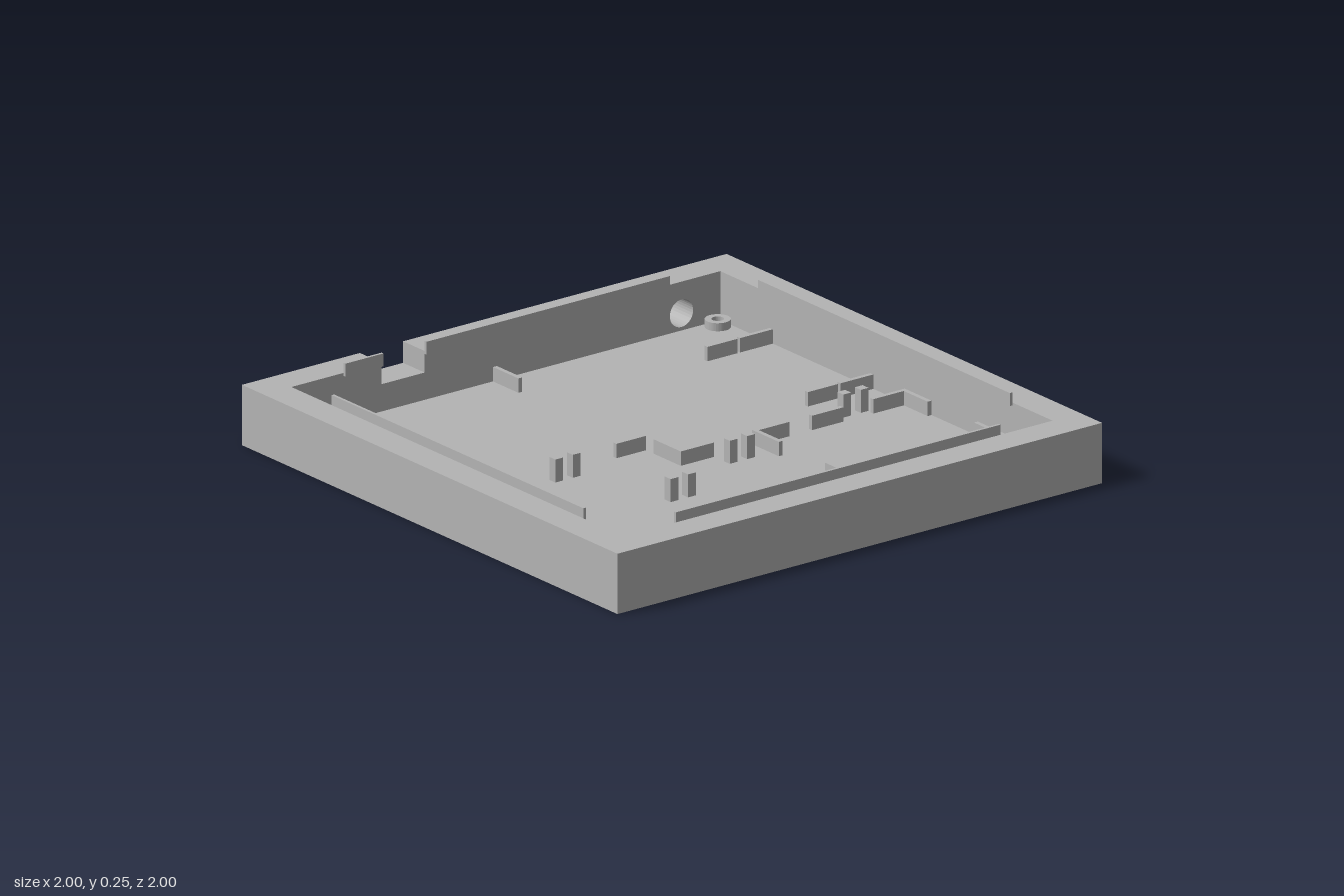
import * as THREE from 'three';

const IN = 0.885;     // half width of the cavity
const FLOOR = 0.04;   // floor thickness
const RIM = 0.21;     // top of the walls
const SCREW = 0.84;   // screw positions

export function createModel() {
  const group = new THREE.Group();
  group.name = 'enclosureTray';
  const plastic = new THREE.MeshStandardMaterial({ color: 0xb4b4b4 });
  plastic.name = 'greyPlastic';

  const add = (name, geometry) => {
    const mesh = new THREE.Mesh(geometry, plastic);
    mesh.name = name;
    group.add(mesh);
    return mesh;
  };
  // Box given by its limits on each axis
  const block = (name, x0, x1, y0, y1, z0, z1) => {
    const mesh = add(name, new THREE.BoxGeometry(x1 - x0, y1 - y0, z1 - z0));
    mesh.position.set((x0 + x1) / 2, (y0 + y1) / 2, (z0 + z1) / 2);
  };
  const circle = (x, y, r) => new THREE.Path().absarc(x, y, r, 0, Math.PI * 2, true);
  const extrude = (shape, depth) =>
    new THREE.ExtrudeGeometry(shape, { depth, bevelEnabled: false, curveSegments: 16 });
  const polygon = (points) => new THREE.Shape(points.map(([x, y]) => new THREE.Vector2(x, y)));
  const corners = [[-1, -1], [1, -1], [1, 1], [-1, 1]].map(([x, z]) => [x * SCREW, z * SCREW]);

  // Floor plate with screw holes
  const plate = polygon([[-1, -1], [1, -1], [1, 1], [-1, 1]]);
  corners.forEach(([x, z]) => plate.holes.push(circle(x, z, 0.033)));
  add('floor', extrude(plate, FLOOR).rotateX(-Math.PI / 2));

  // Screw collars with a narrower bore
  corners.forEach(([x, z]) => {
    const ring = new THREE.Shape().absarc(0, 0, 0.043, 0, Math.PI * 2, false);
    ring.holes.push(circle(0, 0, 0.021));
    const collar = add('screwCollar', extrude(ring, 0.03).rotateX(-Math.PI / 2));
    collar.position.set(x, FLOOR - 0.002, z);
  });

  // Front and side walls
  block('frontWall', -1, 1, FLOOR, RIM, IN, 1);
  block('leftWall', IN, 1, FLOOR, RIM, -IN, IN);
  block('rightWall', -1, -IN, FLOOR, RIM, -IN, IN);

  // Back wall with cable notch and round socket hole
  const back = polygon([
    [-1, FLOOR], [1, FLOOR], [1, RIM], [-0.335, RIM],
    [-0.335, 0.135], [-0.513, 0.135], [-0.513, RIM], [-1, RIM],
  ]);
  back.holes.push(circle(0.725, 0.1, 0.048));
  add('backWall', extrude(back, 1 - IN)).position.z = -1;

  // Thin locating lips just inside the rim
  const lipLow = 0.2, lipTop = 0.245, t = 0.01;
  for (const s of [-1, 1]) {
    const c = s * (IN - t / 2);
    block('sideLip', c - t / 2, c + t / 2, lipLow, lipTop, -0.67, 0.67);
  }
  block('frontLip', -0.67, 0.67, lipLow, lipTop, IN - t, IN);
  block('backLip', -0.67, -0.513, lipLow, lipTop, -IN, -IN + t);
  block('backLip', -0.335, 0.67, lipLow, lipTop, -IN, -IN + t);

  // Low ribs that locate the boards: x0, x1, z0, z1
  const ribs = [
    [-0.818, -0.802, -IN, -0.75], [-0.053, -0.037, -IN, -0.75],
    [-0.818, -0.802, -0.215, -0.07], [-0.802, -0.675, -0.086, -0.07],
    [-0.175, -0.053, -0.086, -0.07],
    [-0.053, -0.037, 0.03 - 0.06, 0.115], [-0.037, 0.085, 0.099, 0.115],
    [0.49, 0.62, 0.097, 0.113],
  ];
  for (const z of [-0.613, -0.078]) {
    ribs.push([0.615, 0.74, z - 0.008, z + 0.008], [0.75, IN, z - 0.008, z + 0.008]);
  }
  // Four corner brackets around one board
  for (const [z0, z1, legA, legB] of [[0.097, 0.113, 0.113, 0.24], [0.614, 0.63, 0.487, 0.614]]) {
    ribs.push([0.255, 0.397, z0, z1], [0.255, 0.271, legA, legB]);
    ribs.push([0.743, IN, z0, z1], [0.869, IN, legA, legB]);
  }
  ribs.forEach(([x0, x1, z0, z1]) => block('boardRib', x0, x1, FLOOR, 0.09, z0, z1));

  // Pairs of square support posts
  for (const [x, z] of [[-0.42, -0.028], [0.695, 0.067], [0.137, 0.182], [-0.235, 0.347]]) {
    for (const s of [-0.036, 0.036]) {
      block('supportPost', x + s - 0.016, x + s + 0.016, FLOOR, 0.12, z - 0.016, z + 0.016);
    }
  }
  return group;
}
